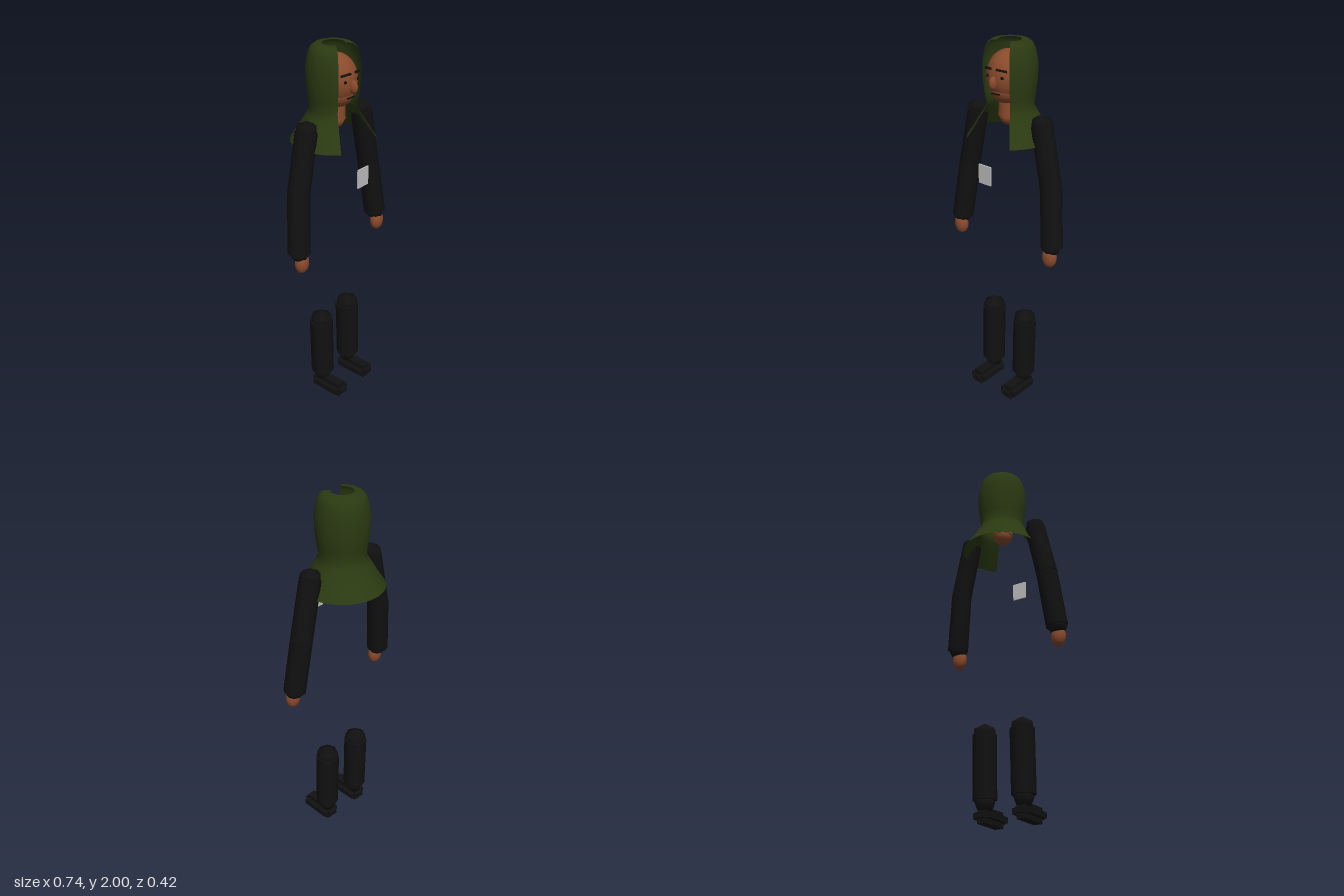
import * as THREE from 'three';

const mat = (name, color, extra = {}) => {
  const m = new THREE.MeshStandardMaterial({ color, ...extra });
  m.name = name;
  return m;
};

export function createModel() {
  const green = mat('hoodGreen', 0x2b3a12, { side: THREE.DoubleSide });
  const skin = mat('skinBrown', 0x8a4a2c);
  const black = mat('clothBlack', 0x111111);
  const silver = mat('plateSilver', 0xc0c0c0);
  const root = new THREE.Group();
  root.name = 'hoodedFigure';

  const add = (parent, name, geometry, material, x = 0, y = 0, z = 0) => {
    const m = new THREE.Mesh(geometry, material);
    m.name = name;
    m.position.set(x, y, z);
    parent.add(m);
    return m;
  };
  const ball = (parent, name, material, p, r, ws = 24, hs = 16) => {
    const m = add(parent, name, new THREE.SphereGeometry(1, ws, hs), material, ...p);
    m.scale.set(...r);
    return m;
  };
  // tapered tube from a (upper) to b (lower)
  const limb = (parent, name, a, b, ra, rb) => {
    const A = new THREE.Vector3(...a), B = new THREE.Vector3(...b);
    const m = add(parent, name, new THREE.CylinderGeometry(ra, rb, A.distanceTo(B), 10), black);
    m.position.copy(A).add(B).multiplyScalar(0.5);
    m.quaternion.setFromUnitVectors(new THREE.Vector3(0, 1, 0), A.sub(B).normalize());
    return m;
  };

  // hood: open-fronted shell flaring over the shoulders, with a hole at the crown
  const profile = [
    [0.22, 1.51], [0.19, 1.555], [0.16, 1.605], [0.135, 1.645], [0.119, 1.68], [0.127, 1.73],
    [0.136, 1.8], [0.138, 1.89], [0.125, 1.955], [0.11, 1.985], [0.09, 1.998], [0.057, 2.0],
  ].map(([r, y]) => new THREE.Vector2(r, y));
  const gap = 0.69;
  add(root, 'hood', new THREE.LatheGeometry(profile, 40, gap, Math.PI * 2 - gap * 2), green, 0, 0, 0.012);

  // head and neck
  const head = new THREE.Group();
  head.name = 'head';
  root.add(head);
  ball(head, 'skull', skin, [0, 1.825, 0.025], [0.108, 0.13, 0.112]);
  ball(head, 'jaw', skin, [0, 1.765, 0.035], [0.085, 0.078, 0.088]);
  add(head, 'neck', new THREE.CylinderGeometry(0.052, 0.056, 0.1, 20), skin, 0, 1.67, 0.02);
  ball(head, 'neckBase', skin, [0, 1.62, 0.02], [0.05, 0.05, 0.05]);
  ball(head, 'nose', skin, [0, 1.807, 0.138], [0.018, 0.034, 0.025], 16, 12);
  const mouth = add(head, 'mouth', new THREE.BoxGeometry(0.05, 0.005, 0.008), black, 0, 1.75, 0.122);
  mouth.rotation.x = 0.3;

  for (const s of [1, -1]) {
    // brows and eyes
    const brow = add(head, 'eyebrow', new THREE.BoxGeometry(0.055, 0.011, 0.009), black, s * 0.042, 1.872, 0.126);
    brow.rotation.set(-0.3, s * 0.38, 0);
    ball(head, 'eye', black, [s * 0.045, 1.836, 0.125], [0.01, 0.008, 0.006], 12, 8);

    // arm: coarse shoulder, two sleeve sections, cuff and hand
    const arm = new THREE.Group();
    arm.name = s > 0 ? 'leftArm' : 'rightArm';
    root.add(arm);
    const shoulder = [s * 0.21, 1.61, 0.02], elbow = [s * 0.276, 1.3, 0.022], wrist = [s * 0.312, 0.99, 0.05];
    ball(arm, 'shoulder', black, shoulder, [0.058, 0.058, 0.058], 8, 3);
    limb(arm, 'upperSleeve', shoulder, elbow, 0.056, 0.058);
    ball(arm, 'elbow', black, elbow, [0.055, 0.055, 0.055], 8, 6);
    limb(arm, 'lowerSleeve', elbow, wrist, 0.058, 0.059);
    ball(arm, 'cuff', black, [s * 0.312, 0.99, 0.053], [0.055, 0.04, 0.055], 8, 4);
    ball(arm, 'hand', skin, [s * 0.31, 0.937, 0.067], [0.041, 0.057, 0.034], 20, 14);

    // leg: coarse knee, shin and ankle
    const leg = new THREE.Group();
    leg.name = s > 0 ? 'leftLeg' : 'rightLeg';
    root.add(leg);
    const x = s * 0.112;
    ball(leg, 'knee', black, [x, 0.455, 0.022], [0.065, 0.065, 0.065], 8, 3);
    limb(leg, 'shin', [x, 0.455, 0.02], [x, 0.12, 0.029], 0.065, 0.064);
    ball(leg, 'ankle', black, [x, 0.11, 0.028], [0.054, 0.058, 0.054], 8, 4);

    // shoe with stepped edges
    for (const [w, h, d] of [[0.1, 0.03, 0.17], [0.05, 0.08, 0.17], [0.05, 0.03, 0.21]])
      add(leg, 'shoe', new THREE.BoxGeometry(w, h, d), black, x, 0.04, 0.084);
  }

  // chest plate
  add(root, 'chestPlate', new THREE.BoxGeometry(0.08, 0.1, 0.008), silver, 0, 1.352, 0.206);
  return root;
}
